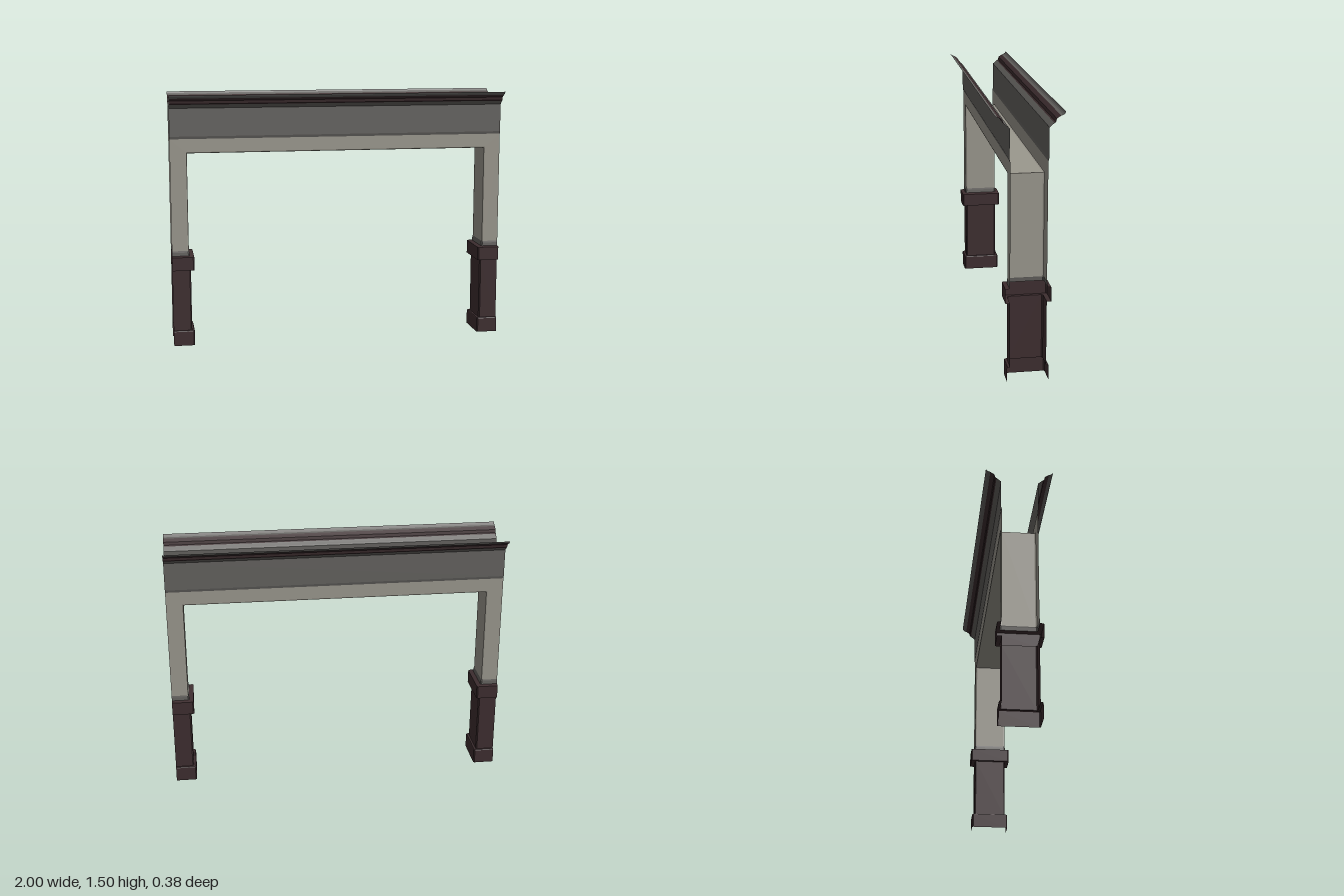
import * as THREE from 'three';

const mat = (name, hex) => {
  const m = new THREE.MeshStandardMaterial({ color: hex, side: THREE.DoubleSide });
  m.name = name;
  return m;
};

// Flat-shaded skin through a list of cross-sections with equal point counts
function loft(name, sections, material, flip = false) {
  const pos = [];
  for (let i = 0; i < sections.length - 1; i++) {
    for (let j = 0; j < sections[i].length - 1; j++) {
      const a = sections[i][j], b = sections[i][j + 1];
      const c = sections[i + 1][j + 1], d = sections[i + 1][j];
      const quad = flip ? [a, c, b, a, d, c] : [a, b, c, a, c, d];
      quad.forEach(p => pos.push(...p));
    }
  }
  const geo = new THREE.BufferGeometry();
  geo.setAttribute('position', new THREE.Float32BufferAttribute(pos, 3));
  geo.computeVertexNormals();
  const mesh = new THREE.Mesh(geo, material);
  mesh.name = name;
  return mesh;
}

export function createModel() {
  const plaster = mat('pale plaster', 0x9b988e);
  const grey = mat('dark grey', 0x64625f);
  const brown = mat('dark brown', 0x3e2e30);
  const group = new THREE.Group();
  group.name = 'doorwaySurround';

  // Jamb and lintel lining: one channel swept around the opening
  const bevel = [[0.008, 0.1], [0.002, 0.098], [0, 0.09]];
  const edge = [...bevel, ...bevel.map(([o, z]) => [o, -z]).reverse()];
  const station = (s, y, outerY, isCorner) => [
    [s, outerY, 0.1],
    ...edge.map(([o, z]) => [s * (0.9 + o), isCorner ? y + o : y, z]),
    [s, outerY, -0.1],
  ];
  group.add(loft('openingLining', [
    station(-1, 0.57, 0.57, false),
    station(-1, 1.155, 1.24, true),
    station(1, 1.155, 1.24, true),
    station(1, 0.57, 0.57, false),
  ], plaster));

  // Leg casings: three-sided, open on the outer side; rows are [inner x, half depth, y]
  const legParts = [
    ['plinth', brown, [[0.875, 0.115, 0], [0.875, 0.115, 0.085], [0.878, 0.112, 0.09], [0.89, 0.1, 0.09]]],
    ['shaft', brown, [[0.89, 0.1, 0.09], [0.89, 0.1, 0.46]]],
    ['cap', brown, [[0.89, 0.1, 0.46], [0.87, 0.125, 0.46], [0.87, 0.125, 0.54], [0.896, 0.103, 0.545]]],
    ['collar', grey, [[0.896, 0.103, 0.545], [0.898, 0.102, 0.565], [0.9, 0.1, 0.575]]],
  ];
  for (const s of [-1, 1]) {
    const leg = new THREE.Group();
    leg.name = s > 0 ? 'leftLeg' : 'rightLeg';
    for (const [name, material, rows] of legParts) {
      const b = 0.007;
      const sections = rows.map(([x, z, y]) => [
        [s, y, z], [s * (x + b), y, z], [s * x, y, z - b],
        [s * x, y, b - z], [s * (x + b), y, -z], [s, y, -z],
      ]);
      leg.add(loft(name, sections, material, s > 0));
    }
    group.add(leg);
  }

  // Header boards and crown mouldings, front and back; profile points are [z, y]
  const headerParts = [
    ['fascia', grey, [[0.1, 1.24], [0.104, 1.255], [0.104, 1.42]]],
    ['crownCove', grey, [[0.104, 1.42], [0.112, 1.427], [0.13, 1.442]]],
    ['crownBand', brown, [[0.13, 1.442], [0.138, 1.447], [0.142, 1.465], [0.165, 1.48]]],
    ['crownLip', grey, [[0.165, 1.48], [0.177, 1.484], [0.185, 1.491], [0.19, 1.5]]],
  ];
  for (const s of [1, -1]) {
    const header = new THREE.Group();
    header.name = s > 0 ? 'frontHeader' : 'backHeader';
    for (const [name, material, profile] of headerParts) {
      const sections = profile.map(([z, y]) => [[-1, y, s * z], [1, y, s * z]]);
      header.add(loft(name, sections, material, s < 0));
    }
    group.add(header);
  }
  return group;
}
